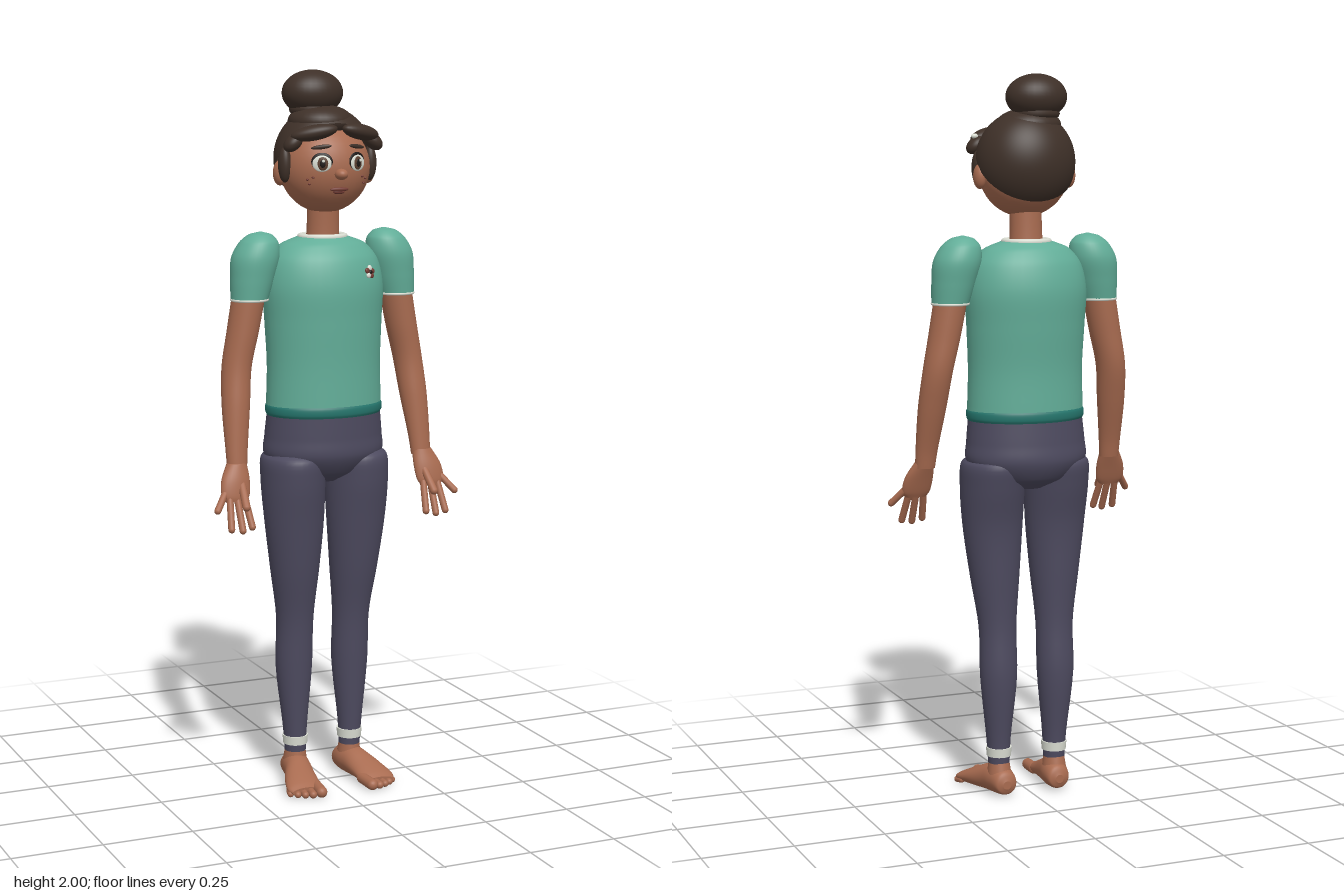
import * as THREE from 'three';

const mat = (name, color, side = THREE.FrontSide) => {
  const m = new THREE.MeshStandardMaterial({ color, side });
  m.name = name;
  return m;
};

export function createModel() {
  const skin = mat('skin', 0xa86b50);
  const hair = mat('hair', 0x3e3028, THREE.DoubleSide);
  const shirt = mat('shirt', 0x62ad98);
  const hem = mat('hem', 0x25756c);
  const leggings = mat('leggings', 0x4d4a5f);
  const trim = mat('trim', 0xdcdfd4);
  const dark = mat('dark', 0x1d1816);
  const iris = mat('iris', 0x5b4030);
  const lips = mat('lips', 0x743c34);

  const root = new THREE.Group();
  root.name = 'figure';
  const V = (x, y, z) => new THREE.Vector3(x, y, z);

  const add = (name, geo, material, parent = root) => {
    const m = new THREE.Mesh(geo, material);
    m.name = name;
    parent.add(m);
    return m;
  };

  // Smooth closed loft; each ring is [y, centreX, centreZ, radiusX, radiusZ]
  function loft(rings, steps = 40, n = 36) {
    const c = new THREE.CatmullRomCurve3(rings.map(r => V(r[0], r[1], r[2])), false, 'centripetal');
    const q = new THREE.CatmullRomCurve3(rings.map(r => V(r[3], r[4], r[0])), false, 'centripetal');
    const pos = [], idx = [];
    for (let i = 0; i <= steps; i++) {
      const p = c.getPoint(i / steps), r = q.getPoint(i / steps);
      for (let j = 0; j < n; j++) {
        const a = j / n * Math.PI * 2;
        pos.push(p.y + Math.cos(a) * r.x, p.x, p.z + Math.sin(a) * r.y);
      }
    }
    for (let i = 0; i < steps; i++) for (let j = 0; j < n; j++) {
      const a = i * n + j, b = i * n + (j + 1) % n;
      idx.push(a, a + n, b, b, a + n, b + n);
    }
    // End caps with their own vertices, so the rims stay crisp
    for (const end of [0, steps]) {
      const base = pos.length / 3, p = c.getPoint(end / steps);
      pos.push(p.y, p.x, p.z);
      for (let j = 0; j < n; j++) pos.push(...pos.slice((end * n + j) * 3, (end * n + j) * 3 + 3));
      for (let j = 0; j < n; j++) {
        const a = base + 1 + j, b = base + 1 + (j + 1) % n;
        if (end) idx.push(base, b, a); else idx.push(base, a, b);
      }
    }
    const g = new THREE.BufferGeometry();
    g.setAttribute('position', new THREE.Float32BufferAttribute(pos, 3));
    g.setIndex(idx);
    g.computeVertexNormals();
    return g;
  }

  const ball = (name, x, y, z, rx, ry, rz, material, parent = root) => {
    const m = add(name, new THREE.SphereGeometry(1, 32, 22), material, parent);
    m.position.set(x, y, z);
    m.scale.set(rx, ry, rz);
    return m;
  };

  const limb = (name, a, b, r, material, parent) => {
    const d = b.clone().sub(a);
    const m = add(name, new THREE.CapsuleGeometry(r, d.length(), 6, 14), material, parent);
    m.position.copy(a).addScaledVector(d, 0.5);
    m.quaternion.setFromUnitVectors(V(0, 1, 0), d.normalize());
    return m;
  };

  const ringTorus = (name, x, y, z, rx, rz, tube, material, parent = root) => {
    const m = add(name, new THREE.TorusGeometry(1, tube / rx, 8, 40).rotateX(Math.PI / 2), material, parent);
    m.position.set(x, y, z);
    m.scale.set(rx, rx, rz);
    return m;
  };

  // Shirt and its hem
  add('shirt', loft([
    [1.085, 0, -0.022, 0.166, 0.122], [1.2, 0, -0.022, 0.163, 0.121], [1.32, 0, -0.025, 0.168, 0.127],
    [1.42, 0, -0.027, 0.172, 0.129], [1.49, 0, -0.028, 0.155, 0.112],
    [1.53, 0, -0.03, 0.12, 0.085], [1.552, 0, -0.03, 0.062, 0.056]]), shirt);
  add('shirtHem', loft([
    [1.06, 0, -0.022, 0.164, 0.121], [1.068, 0, -0.022, 0.168, 0.125],
    [1.084, 0, -0.022, 0.168, 0.125], [1.092, 0, -0.022, 0.164, 0.121]], 12), hem);

  // Neck and collar
  add('neck', loft([[1.5, 0, -0.03, 0.05, 0.046], [1.57, 0, -0.027, 0.045, 0.042],
    [1.68, 0, -0.022, 0.045, 0.042]], 12), skin);
  ringTorus('collar', 0, 1.548, -0.03, 0.062, 0.056, 0.009, trim);

  // Hips, covered by the leggings
  add('hips', loft([
    [0.87, 0, -0.03, 0.05, 0.05], [0.9, 0, -0.03, 0.13, 0.1], [0.95, 0, -0.027, 0.172, 0.126],
    [1.0, 0, -0.025, 0.17, 0.124], [1.07, 0, -0.022, 0.163, 0.12]]), leggings);

  for (const s of [1, -1]) {
    const side = s > 0 ? 'left' : 'right';
    const P = (x, y, z) => V(x * s, y, z);

    // Leg with ankle stripe
    const leg = new THREE.Group();
    leg.name = side + 'Leg';
    root.add(leg);
    add('legging', loft([
      [0.09, 0.084 * s, -0.032, 0.03, 0.032], [0.16, 0.085 * s, -0.032, 0.034, 0.036],
      [0.34, 0.086 * s, -0.036, 0.052, 0.05], [0.48, 0.086 * s, -0.028, 0.053, 0.051],
      [0.62, 0.09 * s, -0.018, 0.069, 0.066], [0.77, 0.094 * s, -0.012, 0.084, 0.082],
      [0.88, 0.096 * s, -0.016, 0.088, 0.102], [0.94, 0.096 * s, -0.02, 0.084, 0.105],
      [0.96, 0.096 * s, -0.022, 0.06, 0.08]]), leggings, leg);
    add('ankleStripe', loft([[0.11, 0.084 * s, -0.032, 0.034, 0.036],
      [0.135, 0.084 * s, -0.032, 0.036, 0.038]], 2), trim, leg);

    // Foot and toes
    add('foot', loft([
      [-0.086, 0.08 * s, -0.035, 0.012, 0.012], [-0.078, 0.08 * s, -0.037, 0.03, 0.03],
      [-0.04, 0.083 * s, -0.042, 0.038, 0.041], [0.0, 0.09 * s, -0.04, 0.04, 0.04],
      [0.05, 0.103 * s, -0.03, 0.047, 0.03], [0.1, 0.112 * s, -0.019, 0.05, 0.018],
      [0.118, 0.113 * s, -0.015, 0.042, 0.011]], 30, 28).rotateX(Math.PI / 2), skin, leg);
    add('ankle', loft([[0.04, 0.084 * s, -0.036, 0.036, 0.042],
      [0.1, 0.084 * s, -0.032, 0.028, 0.03]], 4), skin, leg);
    [[0.078, 0.143, 0.016], [0.102, 0.14, 0.011], [0.122, 0.132, 0.01], [0.14, 0.121, 0.0095], [0.156, 0.106, 0.009]]
      .forEach(([x, z, r]) => limb('toe', P(x - 0.005, r + 0.003, 0.085), P(x, r, z), r, skin, leg));

    // Arm
    const arm = new THREE.Group();
    arm.name = side + 'Arm';
    root.add(arm);
    add('armSkin', loft([
      [0.93, 0.278 * s, 0.026, 0.028, 0.022], [0.98, 0.276 * s, 0.018, 0.031, 0.025],
      [1.1, 0.268 * s, -0.006, 0.039, 0.037], [1.2, 0.258 * s, -0.024, 0.041, 0.043],
      [1.3, 0.238 * s, -0.026, 0.044, 0.046], [1.42, 0.216 * s, -0.026, 0.046, 0.048]]), skin, arm);
    add('sleeve', loft([
      [1.385, 0.22 * s, -0.022, 0.051, 0.052], [1.44, 0.211 * s, -0.024, 0.06, 0.059],
      [1.5, 0.2 * s, -0.026, 0.066, 0.063], [1.54, 0.19 * s, -0.026, 0.053, 0.051],
      [1.56, 0.186 * s, -0.026, 0.031, 0.03], [1.567, 0.185 * s, -0.026, 0.004, 0.004]]), shirt, arm);
    ringTorus('sleeveTrim', 0.22 * s, 1.384, -0.022, 0.049, 0.05, 0.004, trim, arm);

    // Hand, fingers and thumb
    add('palm', loft([
      [0.845, 0.294 * s, 0.06, 0.03, 0.012], [0.86, 0.294 * s, 0.056, 0.04, 0.016],
      [0.9, 0.29 * s, 0.044, 0.041, 0.02], [0.945, 0.28 * s, 0.027, 0.028, 0.021]], 16, 24), skin, arm);
    [[0.322, 0.357, 0.828, 0.083], [0.311, 0.322, 0.776, 0.096],
      [0.292, 0.291, 0.771, 0.1], [0.272, 0.262, 0.778, 0.096]]
      .forEach(([x0, x1, y, z]) => limb('finger', P(x0, 0.872, 0.053), P(x1, y, z), 0.0095, skin, arm));
    limb('thumb', P(0.275, 0.895, 0.05), P(0.282, 0.836, 0.105), 0.011, skin, arm);

    // Ear with a lock of hair in front of it
    ball('ear', 0.131 * s, 1.725, -0.018, 0.018, 0.034, 0.022, skin);
    ball('sideLock', 0.126 * s, 1.748, 0.006, 0.018, 0.048, 0.021, hair);

    // Eye: white, lash line, iris, pupil and glint
    const eye = new THREE.Group();
    eye.name = side + 'Eye';
    eye.position.set(0.051 * s, 1.753, 0.085);
    eye.rotation.y = 0.4 * s;
    root.add(eye);
    ball('lashes', 0, 0.005, 0, 0.029, 0.024, 0.005, dark, eye);
    ball('eyeWhite', 0, 0, 0.003, 0.026, 0.022, 0.0049, trim, eye);
    ball('iris', -0.002 * s, 0, 0.006, 0.015, 0.018, 0.0035, iris, eye);
    ball('pupil', -0.002 * s, 0, 0.0085, 0.008, 0.011, 0.002, dark, eye);
    ball('glint', 0.004, 0.007, 0.01, 0.004, 0.004, 0.001, trim, eye);
    const brow = ball('brow', 0.052 * s, 1.797, 0.083, 0.028, 0.006, 0.005, hair);
    brow.rotation.set(0, 0.4 * s, -0.12 * s);

    // Cheek freckles
    [[0.072, 1.716, 0.074], [0.085, 1.71, 0.065], [0.08, 1.698, 0.066]].forEach(([x, y, z]) =>
      ball('freckle', x * s, y, z, 0.004, 0.003, 0.004, lips));

    // Swept roll of fringe
    const fringe = ball('fringe', 0.068 * s, 1.835, 0.072, 0.064, 0.021, 0.028, hair);
    fringe.rotation.set(0, 0.35 * s, -0.18 * s);
    const wisp = ball('fringeTip', 0.118 * s, 1.808, 0.045, 0.03, 0.02, 0.025, hair);
    wisp.rotation.z = -0.7 * s;
  }

  // Head, nose and mouth
  ball('head', 0, 1.738, -0.014, 0.126, 0.124, 0.11, skin);
  ball('nose', 0, 1.724, 0.098, 0.018, 0.015, 0.021, skin);
  ball('mouth', 0, 1.683, 0.085, 0.027, 0.006, 0.006, lips);
  ball('lowerLip', 0, 1.676, 0.082, 0.017, 0.006, 0.007, lips);

  // Hair: a half shell tipped backwards, a top mound and a bun
  const shell = add('hairShell', new THREE.SphereGeometry(1, 48, 24, 0, Math.PI * 2, 0, Math.PI * 0.51)
    .rotateX(-Math.PI / 4), hair);
  shell.position.set(0, 1.762, -0.022);
  shell.scale.set(0.139, 0.142, 0.124);
  ball('hairMound', -0.01, 1.862, -0.02, 0.09, 0.046, 0.085, hair);
  ball('bun', -0.025, 1.938, -0.04, 0.086, 0.062, 0.07, hair);
  ringTorus('bunBand', -0.025, 1.893, -0.038, 0.054, 0.05, 0.012, hair);

  // Hair clip beads
  for (const z of [0.052, 0.04]) ball('hairClip', 0.118 + (0.05 - z) * 0.5, 1.832, z, 0.01, 0.007, 0.007, trim);

  // Small flower badge on the chest
  const badge = new THREE.Group();
  badge.name = 'badge';
  badge.position.set(0.096, 1.455, 0.075);
  badge.rotation.set(-0.2, 0.45, 0);
  root.add(badge);
  for (let i = 0; i < 5; i++) {
    const a = i / 5 * Math.PI * 2 + 0.3;
    ball('petal', Math.cos(a) * 0.011, Math.sin(a) * 0.011, 0, 0.008, 0.008, 0.0045, i % 2 ? trim : lips, badge);
  }
  ball('badgeCentre', 0, 0, 0.002, 0.006, 0.006, 0.0045, dark, badge);

  return root;
}
